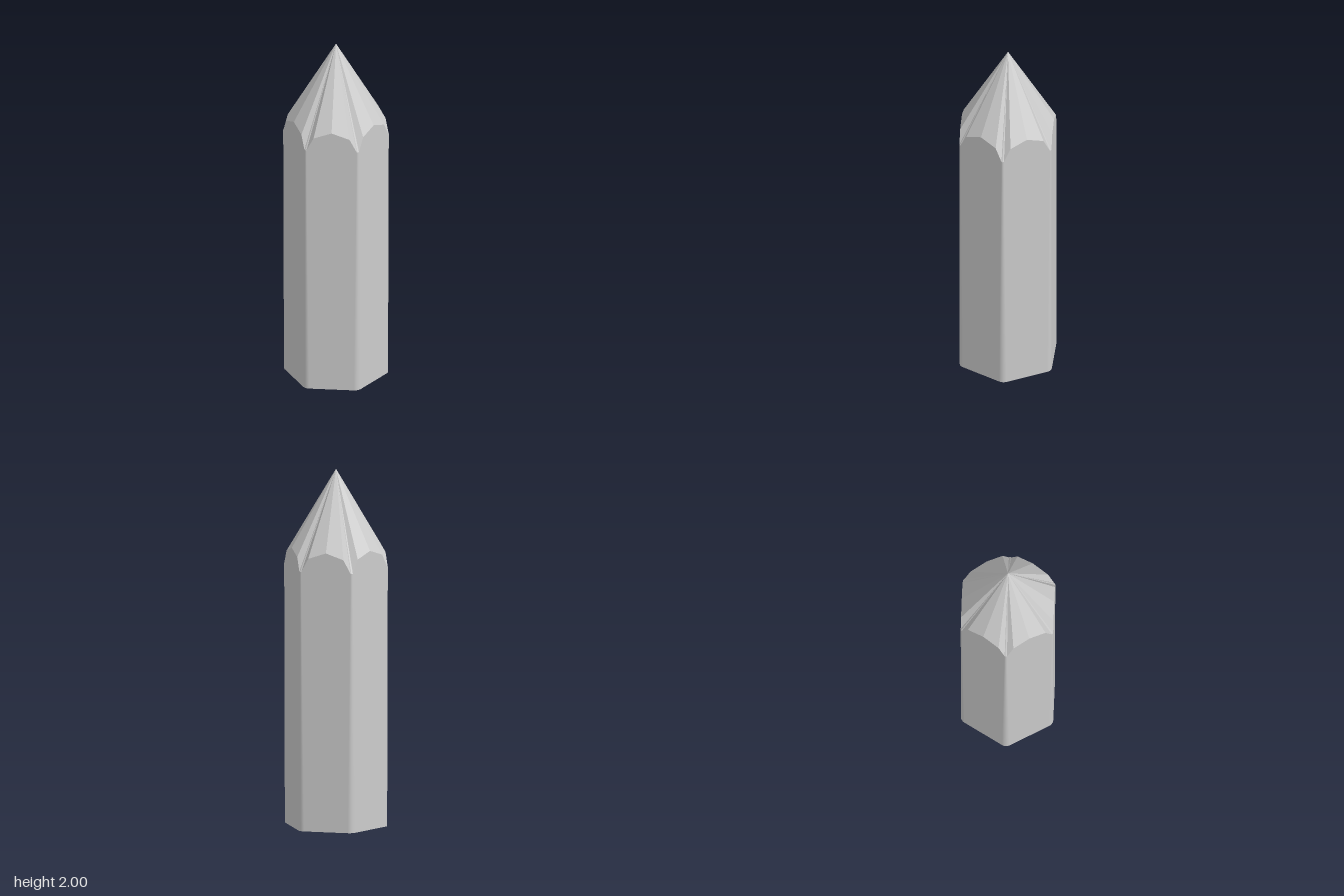
import * as THREE from 'three';

const APOTHEM = 0.256;
const APEX = [0, 2, 0];
const DEG = Math.PI / 180;

// Hexagonal cross-section with filleted corners; each point carries its outward angle.
// The top edge is scalloped: high in the middle of a flat, low at the corners.
function ring(fillet) {
  const points = [];
  const add = (x, z, angle, topY) => points.push({ x, z, angle, topY });
  for (let k = 0; k < 6; k++) {
    const a = k * 60 * DEG;
    const flat = (s, y) => add(
      APOTHEM * Math.sin(a) + s * Math.cos(a),
      APOTHEM * Math.cos(a) - s * Math.sin(a), a, y);
    flat(-0.1, 1.535);
    flat(0, 1.57);
    flat(0.1, 1.535);
    const c = a + 30 * DEG;
    const d = (APOTHEM - fillet) / Math.cos(30 * DEG);
    for (let j = 0; j <= 6; j++) {
      const t = a + j * 10 * DEG;
      add(d * Math.sin(c) + fillet * Math.sin(t), d * Math.cos(c) + fillet * Math.cos(t), t, 1.46);
    }
  }
  return points;
}

function makeMesh(name, positions, normals) {
  const geometry = new THREE.BufferGeometry();
  geometry.setAttribute('position', new THREE.Float32BufferAttribute(positions, 3));
  if (normals) geometry.setAttribute('normal', new THREE.Float32BufferAttribute(normals, 3));
  else geometry.computeVertexNormals();
  const material = new THREE.MeshStandardMaterial({ color: 0xcccccc, flatShading: !normals });
  const mesh = new THREE.Mesh(geometry, material);
  mesh.name = name;
  return mesh;
}

export function createModel() {
  const lower = ring(0.042); // corners are a little rounder at the foot
  const upper = ring(0.014);
  const shaft = [], shaftNormals = [], tip = [], base = [];

  for (let i = 0; i < upper.length; i++) {
    const j = (i + 1) % upper.length;
    const low = k => [lower[k].x, 0, lower[k].z];
    const high = k => [upper[k].x, upper[k].topY, upper[k].z];
    const normal = k => [Math.sin(upper[k].angle), 0, Math.cos(upper[k].angle)];

    // Shaft wall, smooth around the fillets
    shaft.push(...low(i), ...low(j), ...high(j), ...low(i), ...high(j), ...high(i));
    for (const k of [i, j, j, i, j, i]) shaftNormals.push(...normal(k));

    // Faceted point
    tip.push(...high(i), ...high(j), ...APEX);

    // Flat foot
    base.push(0, 0, 0, ...low(j), ...low(i));
  }

  const model = new THREE.Group();
  model.name = 'hexagonalPencil';
  model.add(
    makeMesh('shaft', shaft, shaftNormals),
    makeMesh('sharpenedTip', tip),
    makeMesh('base', base));
  return model;
}
